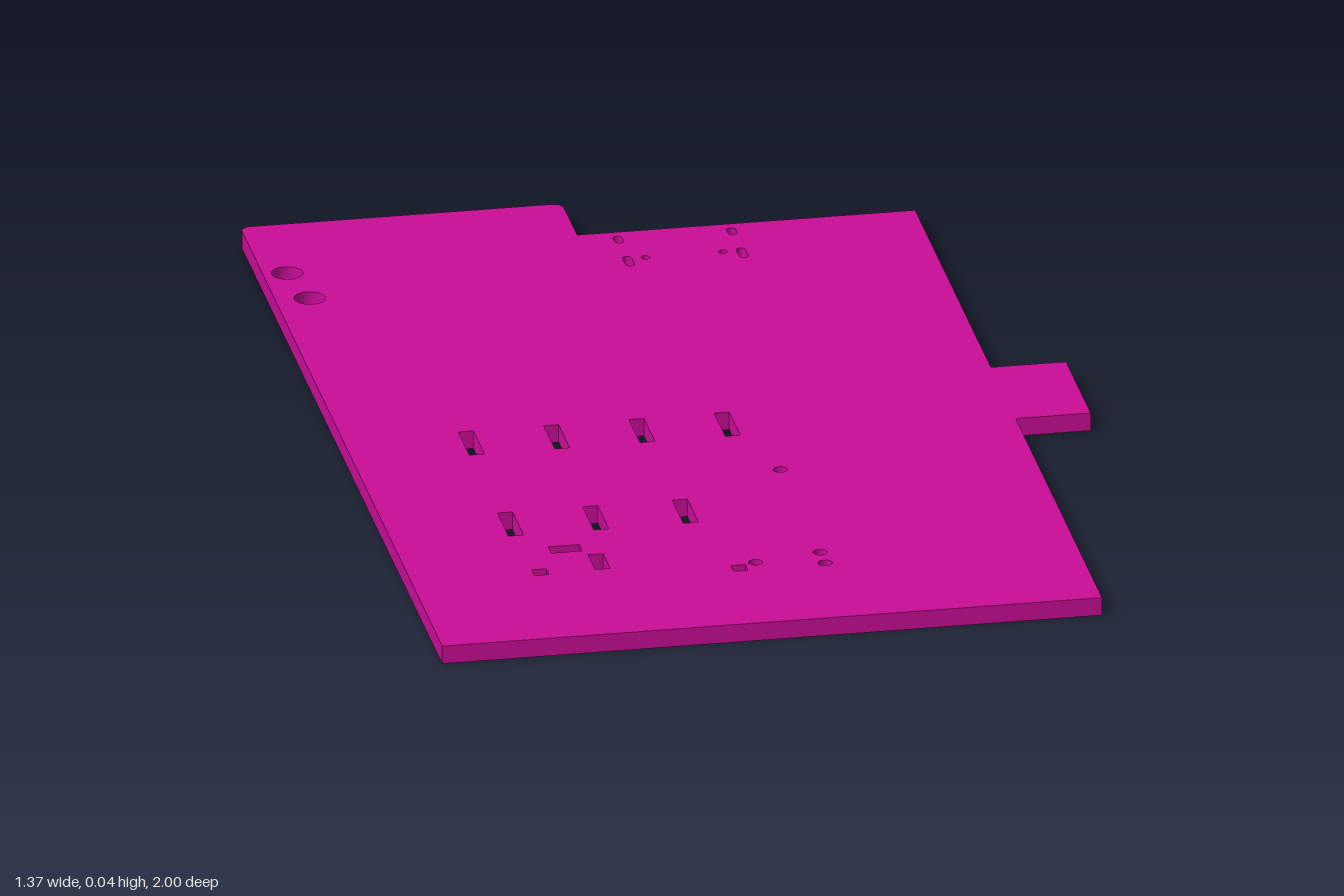
import * as THREE from 'three';

const THICKNESS = 0.035;

// Plan coordinates are (x, z); the shape plane uses y = -z.
function rectHole(x, z, w, d) {
  const p = new THREE.Path();
  p.moveTo(x - w / 2, -z - d / 2);
  p.lineTo(x - w / 2, -z + d / 2);
  p.lineTo(x + w / 2, -z + d / 2);
  p.lineTo(x + w / 2, -z - d / 2);
  p.closePath();
  return p;
}

function roundHole(x, z, r) {
  const p = new THREE.Path();
  p.absarc(x, -z, r, 0, Math.PI * 2, true);
  return p;
}

// Slot with rounded ends, long along z
function slotHole(x, z, w, d) {
  const r = w / 2, h = d / 2 - r;
  const p = new THREE.Path();
  p.absarc(x, -z + h, r, Math.PI, 0, true);
  p.absarc(x, -z - h, r, 0, -Math.PI, true);
  p.closePath();
  return p;
}

export function createModel() {
  const group = new THREE.Group();
  group.name = 'board';

  // Outline: raised back edge with rounded corners, side tab on the left
  const r = 0.02;
  const s = new THREE.Shape();
  s.moveTo(-0.685, -1);
  s.lineTo(0.545, -1);
  s.lineTo(0.545, -0.145);
  s.lineTo(0.685, -0.145);
  s.lineTo(0.685, 0.1);
  s.lineTo(0.545, 0.1);
  s.lineTo(0.545, 0.85);
  s.lineTo(-0.085, 0.85);
  s.lineTo(-0.085, 1 - r);
  s.absarc(-0.085 - r, 1 - r, r, 0, Math.PI / 2);
  s.lineTo(-0.685 + r, 1);
  s.absarc(-0.685 + r, 1 - r, r, Math.PI / 2, Math.PI);
  s.closePath();

  // Two large mounting holes
  s.holes.push(roundHole(-0.64, -0.773, 0.029), roundHole(-0.621, -0.65, 0.029));

  // Connector footprint: mirrored slots and pegs
  for (const side of [-1, 1]) {
    const c = 0.091;
    s.holes.push(
      slotHole(c + side * 0.106, -0.815, 0.017, 0.032),
      slotHole(c + side * 0.106, -0.712, 0.017, 0.045),
      roundHole(c + side * 0.072, -0.724, 0.008)
    );
  }

  // Two rows of long slots
  for (const x of [-0.456, -0.297, -0.138, 0.021]) s.holes.push(rectHole(x, 0.073, 0.028, 0.11));
  for (const x of [-0.456, -0.297, -0.13]) s.holes.push(rectHole(x, 0.46, 0.028, 0.11));

  // Short slots and square holes
  s.holes.push(
    rectHole(-0.379, 0.593, 0.058, 0.03),
    rectHole(-0.329, 0.663, 0.028, 0.07),
    rectHole(-0.444, 0.692, 0.027, 0.027),
    rectHole(-0.082, 0.74, 0.027, 0.027)
  );

  // Small pin holes
  for (const [x, z] of [[-0.048, 0.719], [0.077, 0.695], [0.077, 0.745], [0.077, 0.3]]) {
    s.holes.push(roundHole(x, z, 0.013));
  }

  const geometry = new THREE.ExtrudeGeometry(s, { depth: THICKNESS, bevelEnabled: false, curveSegments: 16 });
  geometry.rotateX(-Math.PI / 2);
  const plate = new THREE.Mesh(geometry, new THREE.MeshStandardMaterial({ color: 0xc80d96 }));
  plate.name = 'plate';
  group.add(plate);
  return group;
}
